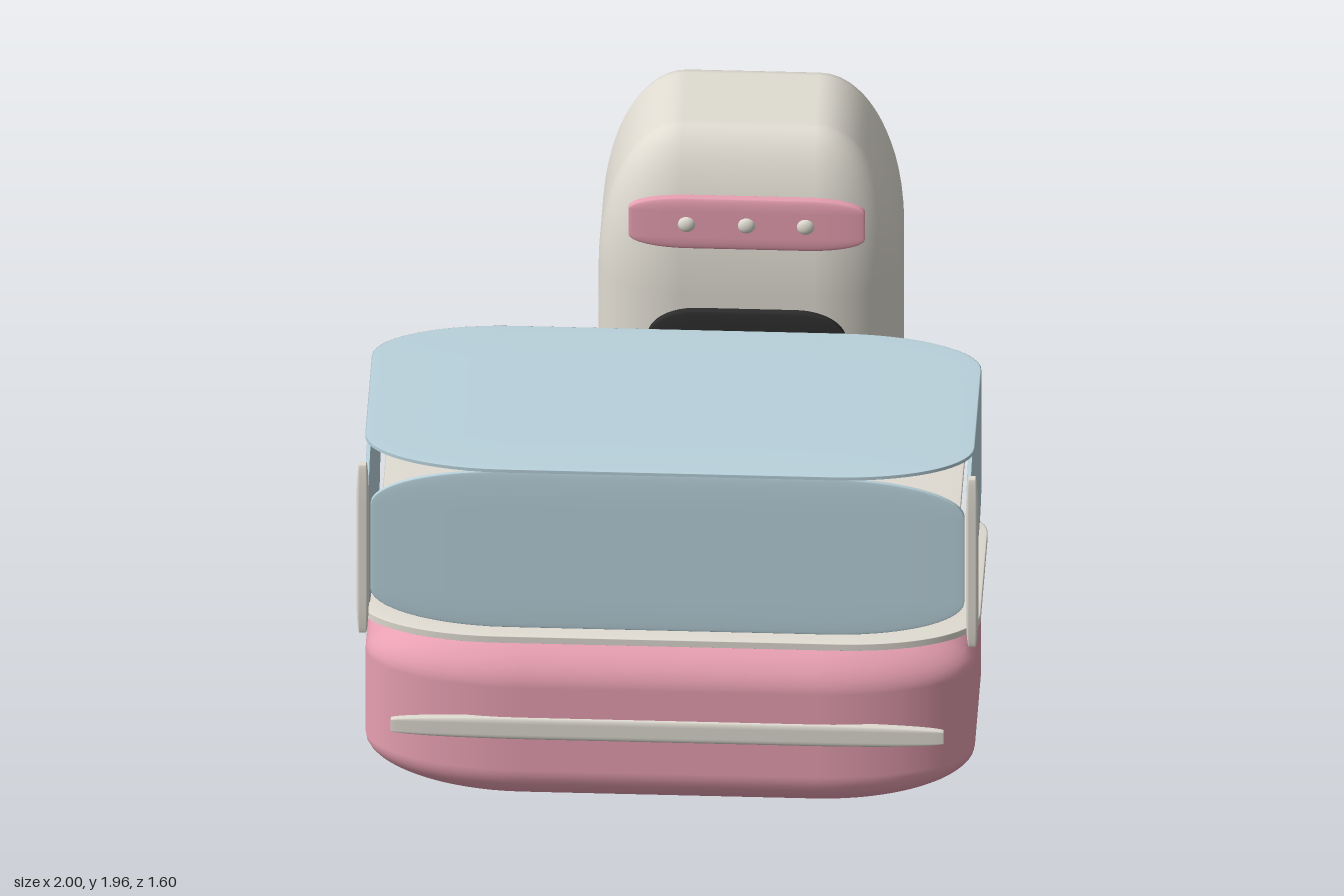
import * as THREE from 'three';
import { RoundedBoxGeometry } from 'three/addons/geometries/RoundedBoxGeometry.js';

const material = (color, extra = {}) => new THREE.MeshStandardMaterial({ color, ...extra });
const cream = material(0xe0dcd2);
const pink = material(0xe8a0b2);
const glass = material(0xb9d2dc);
const dark = material(0x2c2c2c);

// Soft pillow-like box filling the given x, y and z ranges; corners stretch with the box
function softBox(name, mat, [x0, x1], [y0, y1], [z0, z1], radius = 0.5) {
  const geometry = new RoundedBoxGeometry(2, 2, 2, 8, radius);
  geometry.scale((x1 - x0) / 2, (y1 - y0) / 2, (z1 - z0) / 2);
  const mesh = new THREE.Mesh(geometry, mat);
  mesh.name = name;
  mesh.position.set((x0 + x1) / 2, (y0 + y1) / 2, (z0 + z1) / 2);
  return mesh;
}

function createCounter() {
  const counter = new THREE.Group();
  counter.name = 'displayCounter';

  // Base, its trim strip and the worktop
  counter.add(
    softBox('counterBase', pink, [-0.98, 0.98], [0, 0.65], [-0.09, 0.78], 0.52),
    softBox('trimStrip', cream, [-0.89, 0.89], [0.29, 0.37], [0.757, 0.79]),
    softBox('worktop', cream, [-1, 1], [0.652, 0.692], [-0.11, 0.795], 0.45),
  );

  // Glass case, open at the back, with a shelf inside
  counter.add(
    softBox('frontGlass', glass, [-0.955, 0.955], [0.7, 1.287], [0.744, 0.766], 0.46),
    softBox('topGlass', glass, [-0.98, 0.98], [1.288, 1.308], [-0.1, 0.775], 0.46),
    softBox('shelf', cream, [-0.93, 0.93], [0.99, 1.01], [-0.06, 0.73], 0.46),
  );
  for (const side of [-1, 1]) {
    const name = side > 0 ? 'left' : 'right';
    const x = side * 0.967, px = side * 0.98;
    counter.add(
      softBox(name + 'Glass', glass, [x - 0.01, x + 0.01], [0.7, 1.287], [-0.07, 0.75], 0.46),
      softBox(name + 'Post', cream, [px - 0.02, px + 0.02], [0.67, 1.305], [0.738, 0.778]),
    );
  }
  return counter;
}

function createOven() {
  const oven = new THREE.Group();
  oven.name = 'oven';
  oven.add(
    softBox('ovenBody', cream, [-0.27, 0.7], [0, 1.955], [-0.8, -0.15], 0.56),
    softBox('ovenDoor', dark, [-0.105, 0.535], [0.93, 1.36], [-0.155, -0.115]),
    softBox('controlPanel', pink, [-0.165, 0.595], [1.595, 1.785], [-0.158, -0.12]),
  );

  // Row of round knobs on the control panel
  for (const x of [0.022, 0.215, 0.405]) {
    const knob = new THREE.Mesh(new THREE.SphereGeometry(0.029, 24, 16), cream);
    knob.name = 'knob';
    knob.scale.z = 0.6;
    knob.position.set(x, 1.69, -0.124);
    oven.add(knob);
  }
  return oven;
}

export function createModel() {
  const model = new THREE.Group();
  model.name = 'bakeryCounter';
  model.add(createCounter(), createOven());
  return model;
}
